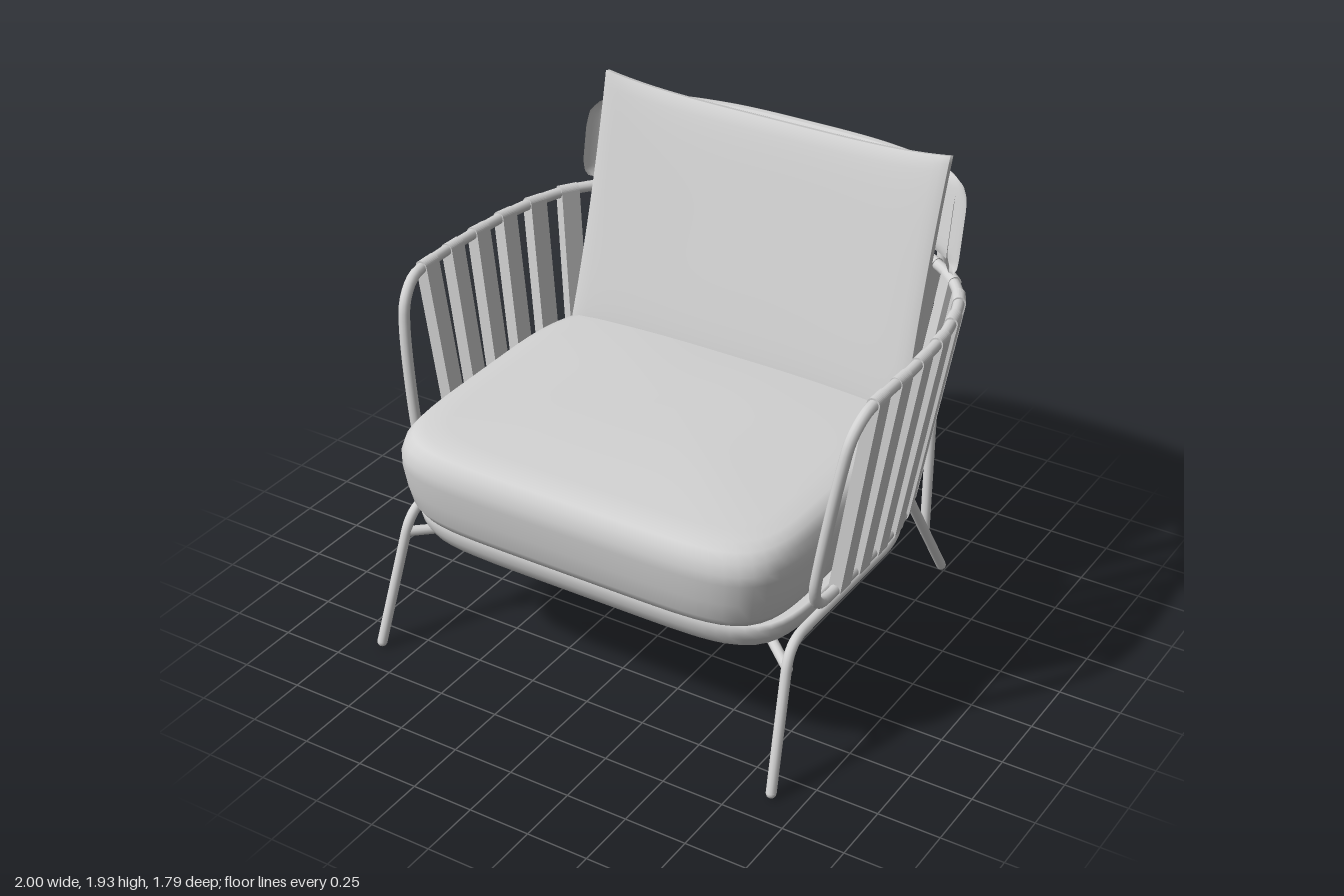
import * as THREE from 'three';
import { mergeVertices } from 'three/addons/utils/BufferGeometryUtils.js';

const V = (x, y, z) => new THREE.Vector3(x, y, z);
const grey = new THREE.MeshStandardMaterial({ color: 0xd2d2d2 });
grey.name = 'light grey';

// Weld vertices and give smooth normals
function smooth(geo) {
  geo.deleteAttribute('uv');
  geo.deleteAttribute('normal');
  const g = mergeVertices(geo, 1e-4);
  g.computeVertexNormals();
  return g;
}

// Polyline with rounded corners
function bentPath(pts, r) {
  const path = new THREE.CurvePath();
  let from = pts[0];
  for (let i = 1; i < pts.length - 1; i++) {
    const p = pts[i];
    const near = (q) => p.clone().add(q.clone().sub(p).setLength(Math.min(r, q.distanceTo(p) * 0.45)));
    const a = near(pts[i - 1]), b = near(pts[i + 1]);
    path.add(new THREE.LineCurve3(from, a));
    path.add(new THREE.QuadraticBezierCurve3(a, p, b));
    from = b;
  }
  path.add(new THREE.LineCurve3(from, pts[pts.length - 1]));
  return path;
}

// Cushion-like solid: lathe profile (radius 0..1, height) stretched to a rounded-square plan
function roundedSlab(profile, halfWidth, front, back, mid) {
  const geo = new THREE.LatheGeometry(profile.map(([r, y]) => new THREE.Vector2(r, y)), 128);
  const pos = geo.attributes.position;
  for (let i = 0; i < pos.count; i++) {
    const x = pos.getX(i), z = pos.getZ(i), r = Math.hypot(x, z);
    if (r < 1e-6) { pos.setXYZ(i, 0, pos.getY(i), mid); continue; }
    const c = Math.abs(x / r), s = Math.abs(z / r), n = z > 0 ? 6.5 : 3.2;
    const k = Math.pow(Math.pow(c, n) + Math.pow(s, n), -1 / n);
    pos.setX(i, x * k * halfWidth);
    pos.setZ(i, mid + z * k * (z > 0 ? front - mid : mid - back));
  }
  return smooth(geo);
}

// Subdivided box moved by a rule (u, v, w in -1..1)
function shapedBox(nu, nv, nw, rule) {
  const geo = new THREE.BoxGeometry(2, 2, 2, nu, nv, nw);
  const pos = geo.attributes.position;
  for (let i = 0; i < pos.count; i++) {
    const p = rule(pos.getX(i), pos.getY(i), pos.getZ(i));
    pos.setXYZ(i, p.x, p.y, p.z);
  }
  return smooth(geo);
}

export function createModel() {
  const model = new THREE.Group();
  model.name = 'armchair';
  const add = (name, geo, parent = model) => {
    const m = new THREE.Mesh(geo, grey);
    m.name = name;
    parent.add(m);
    return m;
  };
  const tube = (name, curve, radius, segs, parent) => {
    add(name, new THREE.TubeGeometry(curve, segs, radius, 12, false), parent);
    for (const t of [0, 1]) {
      add(name + 'End', new THREE.SphereGeometry(radius, 12, 8), parent).position.copy(curve.getPointAt(t));
    }
  };

  // Seat cushion with a slight crown, on a shallow pan
  add('seatCushion', roundedSlab([
    [0, 0.62], [0.88, 0.62], [0.94, 0.635], [0.965, 0.67], [0.985, 0.75], [1, 0.84], [1, 0.88],
    [0.985, 0.925], [0.955, 0.955], [0.91, 0.972], [0.82, 0.98], [0.5, 0.995], [0.25, 1], [0, 1],
  ], 0.85, 0.895, -0.64, 0.12));
  add('seatBase', roundedSlab([
    [0, 0.48], [0.86, 0.48], [0.92, 0.49], [0.965, 0.52], [0.99, 0.56], [1, 0.6], [0.985, 0.615], [0, 0.615],
  ], 0.83, 0.82, -0.65, 0.08));

  // Back cushion: leaning pillow, flatter in front, corners pulled out
  add('backCushion', shapedBox(48, 36, 8, (u, v, w) => {
    const puff = Math.sqrt(Math.max(0, (1 - Math.pow(Math.abs(u), 5)) * (1 - Math.pow(Math.abs(v), 5))));
    const t = (v + 1) / 2;
    const x = u * (0.745 + 0.01 * v * v);
    const y = 0.92 + t * 0.965 + 0.04 * u * u * u * u * t * t;
    const z = -0.32 - 0.29 * t + 0.015 * u * u * u * u;
    const d = w > 0 ? w * (0.012 + 0.02 * puff) : w * (0.015 + 0.16 * puff);
    return V(x, y + 0.27 * d, z + d);
  }));

  // Curved headrest band
  const bandHalf = [[0.815, -0.54], [0.755, -0.66], [0.62, -0.76], [0.36, -0.825]];
  const band = new THREE.CatmullRomCurve3([
    ...bandHalf.map(([x, z]) => V(-x, 0, z)), V(0, 0, -0.84),
    ...bandHalf.slice().reverse().map(([x, z]) => V(x, 0, z)),
  ]);
  add('headrest', shapedBox(72, 16, 6, (u, v, w) => {
    const t = (u + 1) / 2, p = band.getPointAt(t), d = band.getTangentAt(t);
    const end = Math.max(0, (Math.abs(u) - 0.92) / 0.08);
    const h = 0.155 - 0.06 * (1 - Math.sqrt(1 - end * end));
    const soft = Math.sqrt(1 - 0.85 * Math.pow(Math.abs(v), 8)) * Math.sqrt(1 - 0.8 * end ** 4);
    const off = w * 0.035 * soft;
    return V(p.x + d.z * off, 1.62 + v * h, p.z + d.x * off - 0.19 * v * h);
  }));

  // Basket frame: upper and lower rails joined by the front arm bends
  const topHalf = [[0.972, 0.335], [0.972, 0.05], [0.945, -0.25], [0.86, -0.5], [0.68, -0.68], [0.38, -0.77]];
  const lowHalf = [[0.845, 0.335], [0.845, 0.05], [0.82, -0.2], [0.74, -0.41], [0.57, -0.56], [0.32, -0.64]];
  const rail = (half, y, zBack) => [
    ...half.map(([x, z]) => V(x, y, z)), V(0, y, zBack),
    ...half.slice().reverse().map(([x, z]) => V(-x, y, z)),
  ];
  const topPts = rail(topHalf, 1.42, -0.795), lowPts = rail(lowHalf, 0.6, -0.66);
  const bend = [[0.969, 1.405, 0.43], [0.958, 1.34, 0.5], [0.945, 1.24, 0.53], [0.885, 0.83, 0.568],
    [0.865, 0.7, 0.56], [0.853, 0.625, 0.51], [0.847, 0.602, 0.43]];
  const frame = new THREE.CatmullRomCurve3([
    ...topPts,
    ...bend.map(([x, y, z]) => V(-x, y, z)),
    ...lowPts.slice().reverse(),
    ...bend.slice().reverse().map(([x, y, z]) => V(x, y, z)),
  ], true);
  add('basketFrame', new THREE.TubeGeometry(frame, 320, 0.022, 12, true));

  // Straps wrapped around both rails
  const topRail = new THREE.CatmullRomCurve3(topPts), lowRail = new THREE.CatmullRomCurve3(lowPts);
  const straps = new THREE.Group();
  straps.name = 'straps';
  model.add(straps);
  const count = 23, width = 0.08, r = 0.026;
  for (let i = 0; i < count; i++) {
    const t = i / (count - 1);
    const a = lowRail.getPointAt(t), b = topRail.getPointAt(t);
    const up = b.clone().sub(a), len = up.length();
    up.normalize();
    const along = topRail.getTangentAt(t).add(lowRail.getTangentAt(t));
    along.addScaledVector(up, -along.dot(up)).normalize();
    const shape = new THREE.Shape();
    shape.absarc(0, len / 2, r, 0, Math.PI, false);
    shape.absarc(0, -len / 2, r, Math.PI, Math.PI * 2, false);
    const geo = new THREE.ExtrudeGeometry(shape, { depth: width, bevelEnabled: false, curveSegments: 8 });
    geo.translate(0, 0, -width / 2);
    geo.applyMatrix4(new THREE.Matrix4().makeBasis(up.clone().cross(along), up, along)
      .setPosition(a.add(b).multiplyScalar(0.5)));
    add('strap', geo, straps);
  }

  // Legs, under-seat brackets and back uprights on both sides
  for (const s of [1, -1]) {
    const side = new THREE.Group();
    side.name = s > 0 ? 'leftLegs' : 'rightLegs';
    model.add(side);
    const pts = (list) => list.map(([x, y, z]) => V(s * x, y, z));
    tube('legFrame', bentPath(pts([
      [0.88, 0.018, 0.872], [0.84, 0.552, 0.69], [0.84, 0.55, -0.1], [0.7, 0.54, -0.45], [0.735, 0.018, -0.755],
    ]), 0.1), 0.02, 120, side);
    tube('bracket', bentPath(pts([
      [0.845, 0.455, 0.71], [0.535, 0.455, 0.43], [0.535, 0.455, -0.22], [0.705, 0.455, -0.5],
    ]), 0.04), 0.02, 80, side);
    tube('backUpright', bentPath(pts([
      [0.717, 0.25, -0.62], [0.625, 1.54, -0.835], [0.61, 1.57, -0.755],
    ]), 0.05), 0.02, 80, side);
  }
  return model;
}
